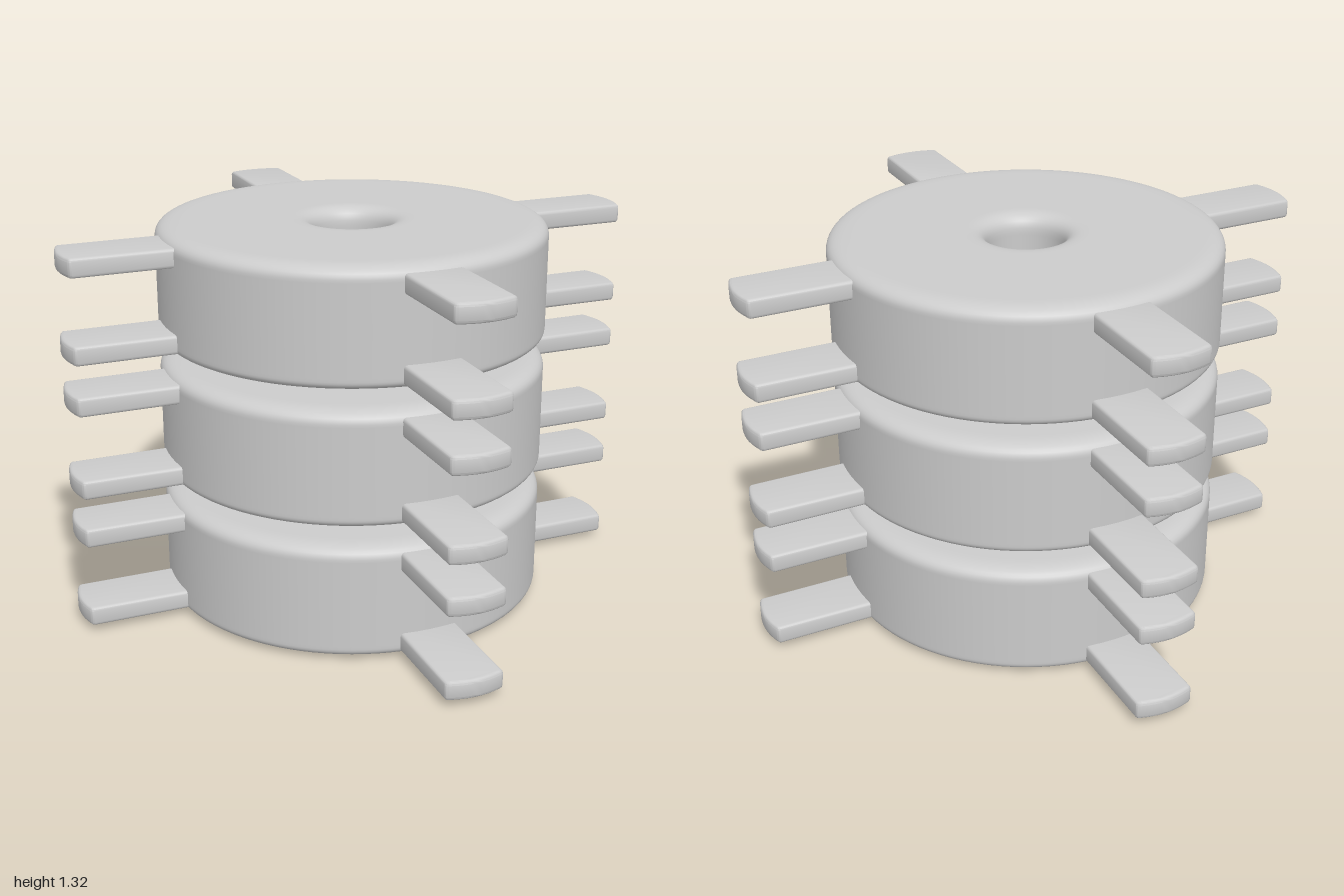
import * as THREE from 'three';
import { toCreasedNormals } from 'three/addons/utils/BufferGeometryUtils.js';

const material = new THREE.MeshStandardMaterial({ color: 0xcccccc });
const DISC_RADIUS = 0.657, HOLE_RADIUS = 0.13;
const PITCH = 0.4575, DISC_HEIGHT = 0.4;

// Ring profile turned about y: softened rim, filleted bore, slightly crowned underside
function discGeometry() {
  const R = DISC_RADIUS, r = HOLE_RADIUS, H = DISC_HEIGHT;
  const profile = new THREE.Path();
  profile.moveTo(r, 0.06);
  profile.quadraticCurveTo(r, 0, r + 0.06, 0);
  profile.lineTo(0.3, 0.001);
  profile.lineTo(0.61, 0.01);
  profile.quadraticCurveTo(R, 0.012, R, 0.04);
  profile.lineTo(R, 0.05);
  profile.lineTo(R, H - 0.05);
  profile.lineTo(R, H - 0.04);
  profile.quadraticCurveTo(R - 0.005, H, R - 0.08, H);
  profile.lineTo(R - 0.09, H);
  profile.lineTo(r + 0.08, H);
  profile.lineTo(r + 0.07, H);
  profile.quadraticCurveTo(r, H, r, H - 0.06);
  profile.lineTo(r, H - 0.07);
  profile.lineTo(r, 0.07);
  profile.lineTo(r, 0.06);
  return new THREE.LatheGeometry(profile.getPoints(8), 96);
}

// Flat paddle pointing along +x with a bowed tip and rounded edges, centred on y = 0
function paddleGeometry() {
  const w = 0.1, thickness = 0.065, bevel = 0.012;
  const plan = new THREE.Shape();
  plan.moveTo(0.62, -w);
  plan.lineTo(0.972, -w);
  plan.quadraticCurveTo(0.982, -w, 0.986, -w + 0.016);
  plan.quadraticCurveTo(1.014, 0, 0.986, w - 0.016);
  plan.quadraticCurveTo(0.982, w, 0.972, w);
  plan.lineTo(0.62, w);
  plan.closePath();
  const depth = thickness - 2 * bevel;
  const geometry = new THREE.ExtrudeGeometry(plan, {
    depth, curveSegments: 8,
    bevelEnabled: true, bevelSize: bevel, bevelThickness: bevel,
    bevelOffset: -bevel, bevelSegments: 3,
  });
  geometry.translate(0, 0, -depth / 2).rotateX(-Math.PI / 2);
  return toCreasedNormals(geometry, 0.6);
}

export function createModel() {
  const model = new THREE.Group();
  model.name = 'paddleDiscStack';
  const disc = discGeometry();
  const paddle = paddleGeometry();

  // Three separate discs, each with two tiers of four paddles
  for (let i = 0; i < 3; i++) {
    const unit = new THREE.Group();
    unit.name = `discUnit${i + 1}`;
    unit.position.y = i * PITCH;

    const body = new THREE.Mesh(disc, material);
    body.name = 'disc';
    unit.add(body);

    for (const [tier, y] of [['lower', 0.057], ['upper', 0.343]]) {
      for (let k = 0; k < 4; k++) {
        const blade = new THREE.Mesh(paddle, material);
        blade.name = `${tier}Paddle${k + 1}`;
        blade.position.y = y;
        blade.rotation.y = k * Math.PI / 2;
        unit.add(blade);
      }
    }
    model.add(unit);
  }
  return model;
}
